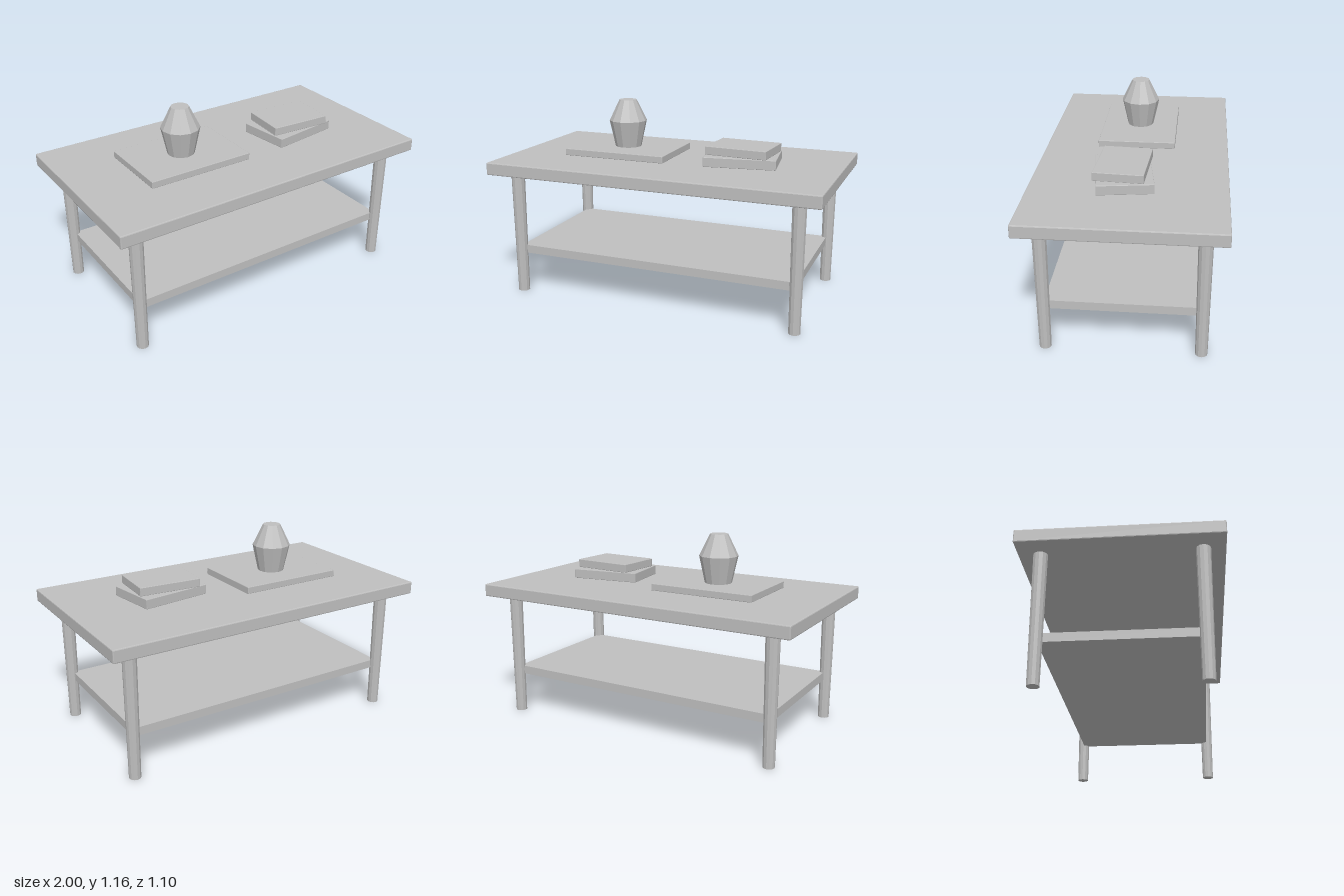
import * as THREE from 'three';
import { RoundedBoxGeometry } from 'three/addons/geometries/RoundedBoxGeometry.js';

export function createModel() {
  const table = new THREE.Group();
  table.name = 'coffeeTable';
  const grey = new THREE.MeshStandardMaterial({ color: 0xbfbfbf, flatShading: true });
  grey.name = 'plainGrey';

  function add(name, geometry, x, y, z, turn = 0) {
    const mesh = new THREE.Mesh(geometry, grey);
    mesh.name = name;
    mesh.position.set(x, y, z);
    mesh.rotation.y = turn;
    table.add(mesh);
  }

  // Box with a narrow chamfer, placed by its bottom and top heights
  function slab(name, width, depth, bottom, top, x, z, turn, bevel) {
    const geometry = new RoundedBoxGeometry(width, top - bottom, depth, 1, bevel);
    add(name, geometry, x, (bottom + top) / 2, z, turn);
  }

  // Tabletop and lower shelf
  slab('tabletop', 2, 1.1, 0.75, 0.825, 0, 0, 0, 0.006);
  add('shelf', new THREE.BoxGeometry(1.71, 0.05, 0.85), 0, 0.268, 0);

  // Four tapered legs
  const leg = new THREE.CylinderGeometry(0.04, 0.034, 0.75, 12);
  for (const x of [-0.86, 0.86]) {
    for (const z of [-0.43, 0.43]) {
      add((z > 0 ? 'front' : 'back') + (x > 0 ? 'Left' : 'Right') + 'Leg', leg, x, 0.375, z);
    }
  }

  // Tray and the two turned books
  slab('tray', 0.64, 0.46, 0.835, 0.876, -0.323, 0, 0, 0.003);
  slab('lowerBook', 0.42, 0.313, 0.835, 0.892, 0.427, 0.034, 0.14, 0.003);
  slab('upperBook', 0.37, 0.28, 0.895, 0.945, 0.428, 0.035, -0.065, 0.003);

  // Faceted vase with a closed top
  const profile = [[0, 0.875], [0.08, 0.875], [0.115, 1.036], [0.053, 1.163], [0, 1.163]];
  const vase = new THREE.LatheGeometry(profile.map(([r, y]) => new THREE.Vector2(r, y)), 12);
  add('vase', vase, -0.325, 0, 0);

  return table;
}
